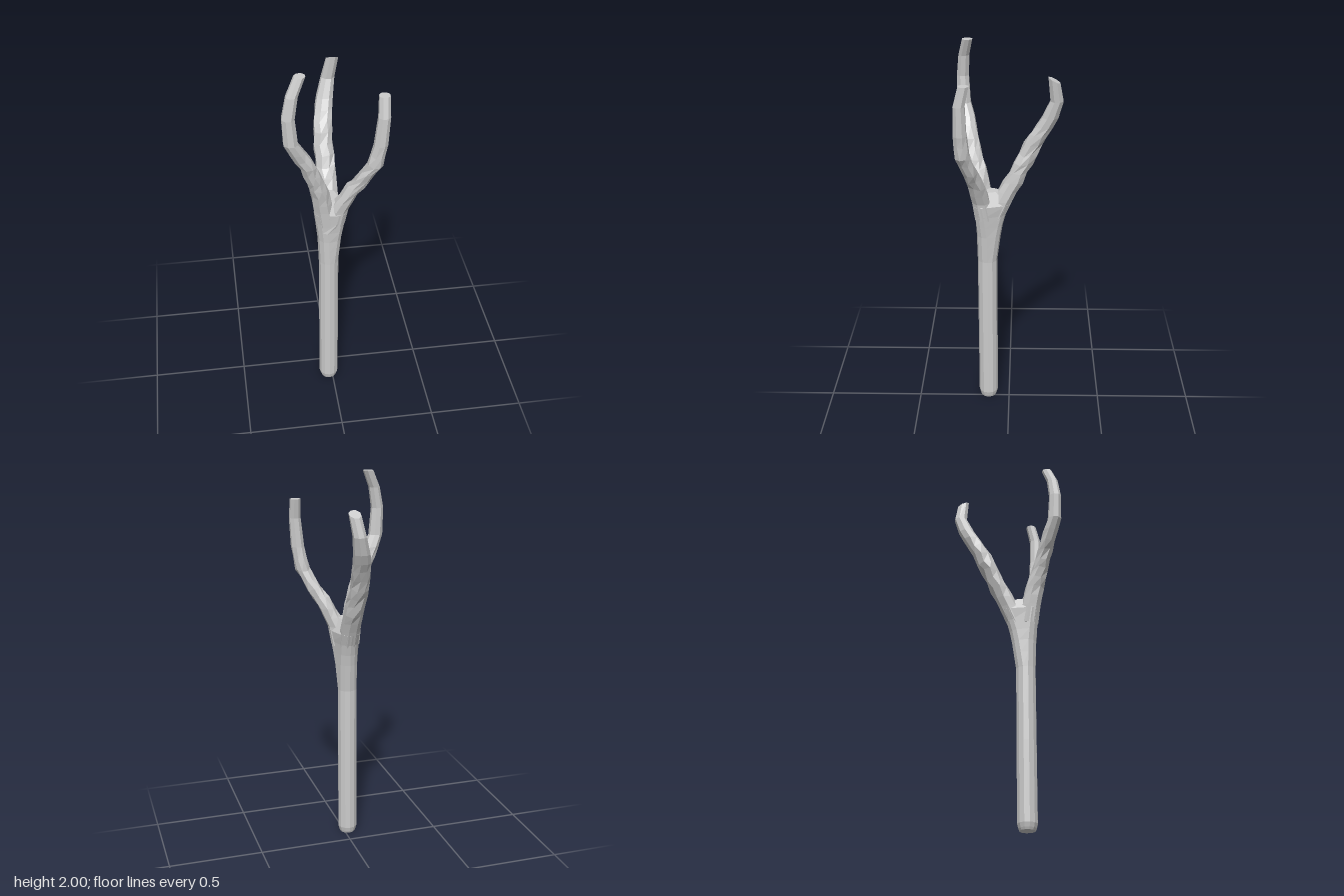
import * as THREE from 'three';

const material = new THREE.MeshStandardMaterial({ color: 0xcccccc, flatShading: true, side: THREE.DoubleSide });

// Branch centre lines: [x, y, z, radius] of level cross-sections
const paths = {
  rightBranch: [
    [-0.02, 0.85, 0.115, 0.052], [-0.025, 1.0, 0.118, 0.053], [-0.035, 1.1, 0.125, 0.053], [-0.05, 1.2, 0.138, 0.051],
    [-0.066, 1.3, 0.155, 0.049], [-0.095, 1.4, 0.178, 0.043], [-0.132, 1.5, 0.2, 0.041], [-0.185, 1.6, 0.22, 0.04],
    [-0.215, 1.66, 0.236, 0.036], [-0.225, 1.8, 0.24, 0.032], [-0.205, 1.91, 0.232, 0.029], [-0.165, 2.0, 0.212, 0.027],
  ],
  leftBranch: [
    [-0.02, 0.85, 0.115, 0.052], [-0.005, 1.0, 0.118, 0.051], [0.01, 1.1, 0.128, 0.05], [0.028, 1.2, 0.143, 0.048],
    [0.073, 1.3, 0.163, 0.045], [0.135, 1.4, 0.193, 0.04], [0.19, 1.5, 0.225, 0.037],
    [0.213, 1.62, 0.234, 0.034], [0.225, 1.77, 0.235, 0.03], [0.227, 1.87, 0.212, 0.027],
  ],
  backBranch: [
    [-0.02, 0.85, 0.115, 0.052], [-0.015, 1.0, 0.095, 0.052], [-0.012, 1.1, 0.075, 0.05], [-0.01, 1.2, 0.032, 0.051],
    [-0.012, 1.3, -0.018, 0.05], [-0.018, 1.4, -0.072, 0.049], [-0.017, 1.5, -0.122, 0.047], [-0.005, 1.6, -0.178, 0.045],
    [0.005, 1.65, -0.205, 0.042], [0.025, 1.74, -0.236, 0.034], [0.045, 1.85, -0.221, 0.031],
  ],
};

let seed = 7;
const noise = () => (seed = (seed * 16807) % 2147483647) / 2147483647 - 0.5;

// Interpolated cross-section of a branch at height y
function sectionAt(path, y) {
  const next = path.findIndex(p => p[1] > y);
  if (next < 0) return path.at(-1);
  const from = path[next - 1], to = path[next];
  const t = (y - from[1]) / (to[1] - from[1]);
  return from.map((v, k) => v + (to[k] - v) * t);
}

const centreOf = ring => [0, 1, 2].map(k => ring.reduce((s, p) => s + p[k], 0) / ring.length);

// Skin a stack of rings and close both ends
function loft(name, rings) {
  const n = rings[0].length;
  const pos = rings.flat(2);
  const index = [];
  for (let j = 0; j < rings.length - 1; j++) {
    for (let i = 0; i < n; i++) {
      const a = j * n + i, b = j * n + (i + 1) % n;
      index.push(a, a + n, b, b, a + n, b + n);
    }
  }
  pos.push(...centreOf(rings[0]), ...centreOf(rings.at(-1)));
  const base = rings.length * n;
  for (let i = 0; i < n; i++) {
    const k = (i + 1) % n, t = base - n;
    index.push(base, i, k, base + 1, t + k, t + i);
  }
  const geometry = new THREE.BufferGeometry();
  geometry.setAttribute('position', new THREE.Float32BufferAttribute(pos, 3));
  geometry.setIndex(index);
  geometry.computeVertexNormals();
  const mesh = new THREE.Mesh(geometry, material);
  mesh.name = name;
  return mesh;
}

// Trunk: round below, then the outline wrapped around all three branches
function makeTrunk() {
  const n = 12, rings = [];
  const circle = (y, r) => Array.from({ length: n }, (_, i) => {
    const a = (i / n) * Math.PI * 2;
    return [-0.02 + Math.cos(a) * r, y, 0.115 + Math.sin(a) * r];
  });
  rings.push(circle(0, 0.041), circle(0.012, 0.046), circle(0.035, 0.052), circle(0.45, 0.052));
  for (const y of [0.85, 0.93, 1.0, 1.06, 1.12, 1.18]) {
    const sections = Object.values(paths).map(p => sectionAt(p, y));
    rings.push(Array.from({ length: n }, (_, i) => {
      const a = (i / n) * Math.PI * 2, c = Math.cos(a), s = Math.sin(a);
      const reach = q => q[0] * c + q[2] * s + q[3];
      const far = sections.reduce((m, q) => (reach(q) > reach(m) ? q : m));
      return [far[0] + c * far[3], y, far[2] + s * far[3]];
    }));
  }
  // Fork web, drawn in between the branches
  const last = rings.at(-1), mid = centreOf(last);
  rings.push(last.map(([x, , z]) => [mid[0] + (x - mid[0]) * 0.55, 1.25, mid[2] + (z - mid[2]) * 0.55 + 0.015]));
  return loft('trunk', rings);
}

// Branch: knobbly near the fork, smooth toward the tip
function makeBranch(name, path) {
  const n = 8, rings = [];
  const knots = path.map(p => p[1]).filter(y => y >= 1.1);
  const heights = knots.flatMap((y, i) => (y < 1.58 ? [y, (y + knots[i + 1]) / 2] : [y]));
  heights.forEach((y, j) => {
    const [x, , z, r] = sectionAt(path, y);
    const rough = y > 1.27 && y < 1.59;
    const twist = rough ? (j % 2 ? 0.1 : -0.1) : 0;
    const tilt = name === 'backBranch' && j === heights.length - 1 ? 0.5 : 0;
    rings.push(Array.from({ length: n }, (_, i) => {
      const a = ((i + 0.5) / n) * Math.PI * 2 + twist;
      const q = r * (rough ? 1.03 + noise() * 0.13 : 1.03);
      const dy = rough ? noise() * 0.02 : Math.sin(a) * q * tilt;
      return [x + Math.cos(a) * q, y + dy, z + Math.sin(a) * q];
    }));
  });
  return loft(name, rings);
}

export function createModel() {
  const group = new THREE.Group();
  group.name = 'forkedStaff';
  group.add(makeTrunk());
  for (const [name, path] of Object.entries(paths)) group.add(makeBranch(name, path));
  return group;
}
